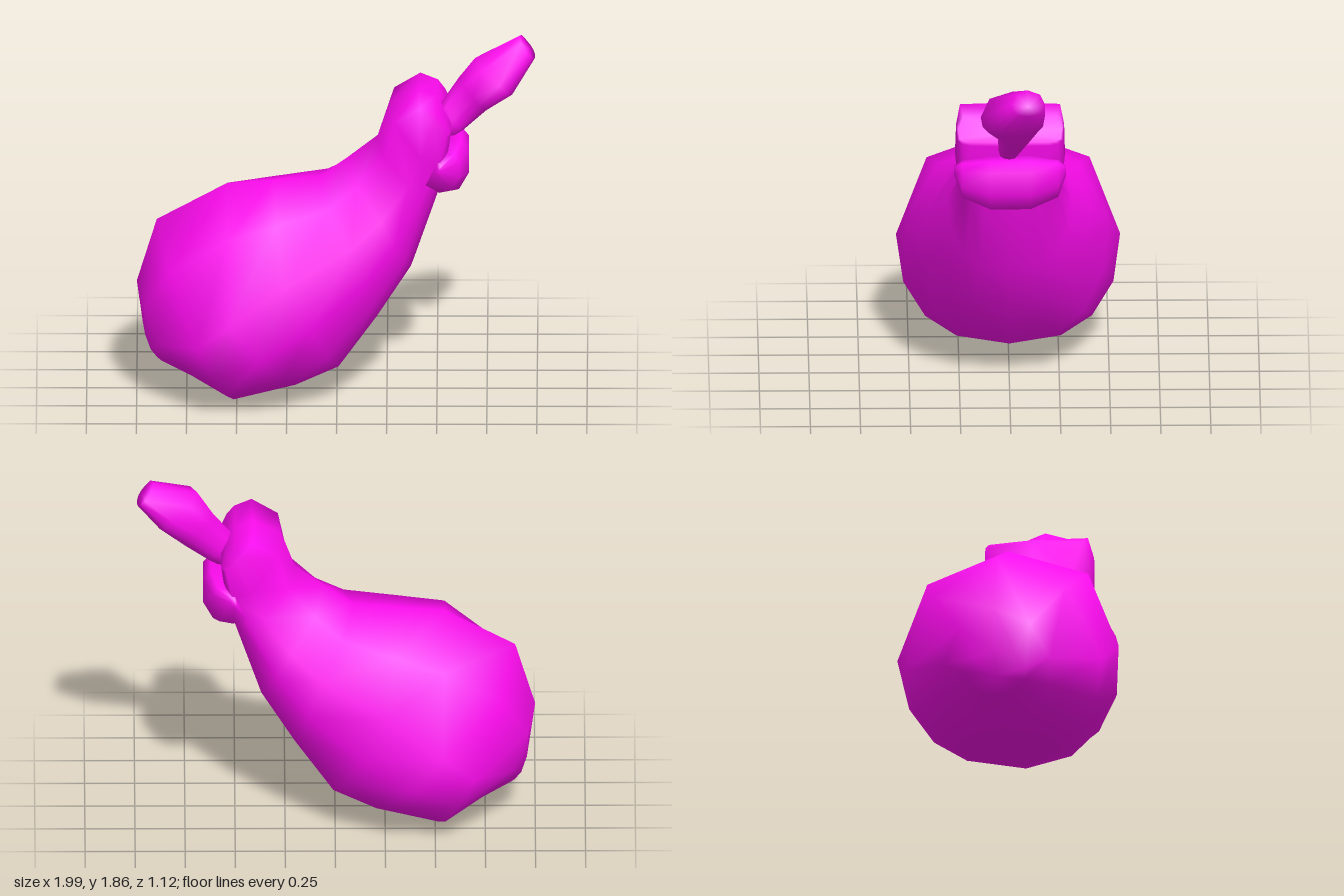
import * as THREE from 'three';

const material = new THREE.MeshStandardMaterial({ color: 0xff0cf0 });

// Skin a series of closed rings of Vector3 and close both ends with a fan.
function loft(name, rings) {
  const n = rings[0].length;
  const points = rings.flat();
  const index = [];
  for (let r = 0; r < rings.length - 1; r++) {
    for (let i = 0; i < n; i++) {
      const a = r * n + i, b = r * n + (i + 1) % n;
      index.push(a, b, a + n, b, b + n, a + n);
    }
  }
  const cap = (ring, start, flip) => {
    const centre = new THREE.Vector3();
    ring.forEach((p) => centre.addScaledVector(p, 1 / n));
    const c = points.push(centre) - 1;
    for (let i = 0; i < n; i++) {
      const a = start + i, b = start + (i + 1) % n;
      if (flip) index.push(c, b, a);
      else index.push(c, a, b);
    }
  };
  cap(rings[0], 0, true);
  cap(rings[rings.length - 1], (rings.length - 1) * n, false);

  // Turn the faces outwards if the enclosed volume comes out negative
  let volume = 0;
  const cross = new THREE.Vector3();
  for (let i = 0; i < index.length; i += 3) {
    cross.crossVectors(points[index[i + 1]], points[index[i + 2]]);
    volume += points[index[i]].dot(cross);
  }
  if (volume < 0) index.reverse();

  const geometry = new THREE.BufferGeometry().setFromPoints(points);
  geometry.setIndex(index);
  geometry.computeVertexNormals();
  const mesh = new THREE.Mesh(geometry, material);
  mesh.name = name;
  return mesh;
}

// Ring corners, closer together on the underside
const ANGLES = [0, 45, 90, 112, 135, 156, 180, 204, 225, 248, 270, 315].map(THREE.MathUtils.degToRad);

// Ring through an upper point, a lower point and a widest point (x, y), spread along z.
// Powers below 1 make the upper or lower half boxier.
function ovalRing([tx, ty, bx, by, mx, my, w, zc = 0, upper = 1, lower = 0.85]) {
  return ANGLES.map((a) => {
    const c = Math.cos(a), s = Math.sin(a);
    const power = c > 0 ? upper : lower;
    const k = Math.abs(c) ** power;
    const [ex, ey] = c > 0 ? [tx, ty] : [bx, by];
    const z = zc + w * Math.sign(s) * Math.abs(s) ** power;
    return new THREE.Vector3(mx + (ex - mx) * k, my + (ey - my) * k, z);
  });
}

// Lobe lying across the neck: one outline repeated along z, shrinking to the ends.
function lobe(name, outline, [cx, cy], stations) {
  return loft(name, stations.map(([z, s]) =>
    outline.map(([x, y]) => new THREE.Vector3(cx + (x - cx) * s, cy + (y - cy) * s, z))));
}

export function createModel() {
  const group = new THREE.Group();

  // Leaning pear-shaped body whose neck flares into a boxy upper lobe:
  // top x, y, bottom x, y, middle x, y, half width, z centre, upper and lower power
  const bodyRings = [
    [-0.97, 0.36, -0.86, 0.17, -0.93, 0.27, 0.15],
    [-1.0, 0.58, -0.68, 0.09, -0.89, 0.34, 0.27, 0, 1.2],
    [-0.9, 0.91, -0.5, 0.005, -0.7, 0.4, 0.5, 0, 1.12],
    [-0.55, 1.1, -0.18, 0.09, -0.54, 0.54, 0.56, 0, 0.92],
    [-0.32, 1.12, 0.03, 0.17, -0.26, 0.73, 0.5],
    [-0.09, 1.14, 0.21, 0.43, 0.07, 0.9, 0.41],
    [0.05, 1.24, 0.38, 0.69, 0.22, 1.01, 0.31],
    [0.2, 1.35, 0.51, 1.09, 0.36, 1.18, 0.24, 0, 0.7, 0.7],
    [0.27, 1.54, 0.55, 1.28, 0.42, 1.34, 0.275, 0, 0.3, 0.35],
    [0.41, 1.605, 0.57, 1.43, 0.49, 1.52, 0.27, 0, 0.22, 0.35],
    [0.5, 1.575, 0.57, 1.45, 0.54, 1.51, 0.26, 0, 0.3, 0.35],
  ];
  group.add(loft('body', bodyRings.map(ovalRing)));

  // Lip under the upper lobe
  group.add(lobe('lowerLobe',
    [[0.42, 1.14], [0.51, 1.09], [0.61, 1.11], [0.66, 1.2], [0.66, 1.32], [0.62, 1.37], [0.5, 1.38]],
    [0.5, 1.285],
    [[-0.28, 0.14], [-0.24, 0.7], [-0.1, 1], [0.1, 1], [0.24, 0.7], [0.28, 0.14]]));

  // Thin stem opening into a blunt, slightly twisted head
  const stemRings = [
    [0.47, 1.47, 0.56, 1.35, 0.51, 1.41, 0.055, 0.01],
    [0.53, 1.55, 0.63, 1.39, 0.58, 1.47, 0.06, 0.0],
    [0.61, 1.66, 0.75, 1.49, 0.68, 1.57, 0.08, -0.03],
    [0.69, 1.77, 0.88, 1.6, 0.81, 1.68, 0.16, -0.01, 0.95, 0.75],
    [0.91, 1.86, 0.99, 1.75, 0.95, 1.8, 0.085, -0.085],
  ];
  group.add(loft('stem', stemRings.map(ovalRing)));

  return group;
}
